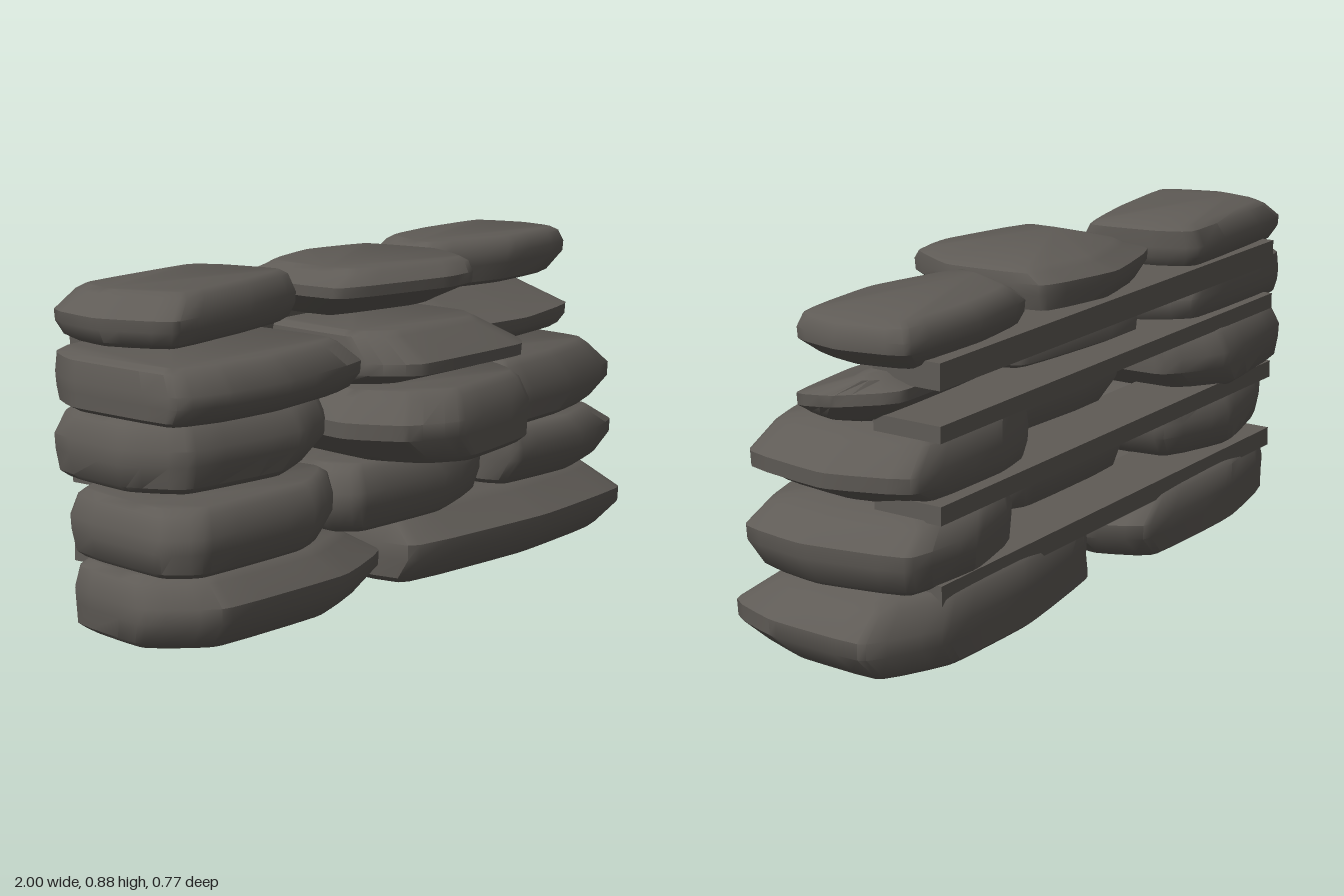
import * as THREE from 'three';
import { toCreasedNormals } from 'three/addons/utils/BufferGeometryUtils.js';

const stoneGrey = new THREE.MeshStandardMaterial({ color: 0x5f5b56 });
stoneGrey.name = 'stone grey';

// Cuts the corners of a closed outline
function cutCorners(points, amount) {
  return points.flatMap(([x, z], i) => {
    const [nx, nz] = points[(i + 1) % points.length];
    return [amount, 1 - amount].map((t) => [x + (nx - x) * t, z + (nz - z) * t]);
  });
}

function bounds(points) {
  const xs = points.map((p) => p[0]), zs = points.map((p) => p[1]);
  return [Math.min(...xs), Math.max(...xs), Math.min(...zs), Math.max(...zs)];
}

// Worn stone: one plan outline, stacked in rings between y0 and y1.
// low and high are the insets [left edge, right edge, back, front] of bottom and top;
// belly is the height share of the widest ring, tilt raises its back and drops its front.
function stone(name, y0, y1, plan, low, high, belly = 0.5, tilt = 0) {
  const box = bounds(plan);
  let outline = cutCorners(cutCorners(plan, 0.1), 0.25);
  const b = bounds(outline);
  // Unit outline, counted from +x towards +z
  outline = outline.map(([x, z]) => [(x - b[0]) / (b[1] - b[0]), (z - b[2]) / (b[3] - b[2])]);
  const n = outline.length;
  const area = outline.reduce((s, [x, z], i) => {
    const [nx, nz] = outline[(i + 1) % n];
    return s + x * nz - nx * z;
  }, 0);
  if (area < 0) outline.reverse();

  const h = y1 - y0, none = [0, 0, 0, 0];
  const rings = [
    [0, low, 0.025], [0.09, low, 0.004], [belly - 0.11, none, 0.002],
    [belly + 0.11, none, 0], [0.91, high, 0.004], [1, high, 0.025],
  ];
  const pos = [], index = [];
  rings.forEach(([t, inset, bevel], r) => {
    const left = box[0] + inset[0] + bevel, right = box[1] - inset[1] - bevel;
    const back = box[2] + inset[2] + bevel, front = box[3] - inset[3] - bevel;
    outline.forEach(([u, v]) => {
      const lift = r === 2 || r === 3 ? tilt * (0.5 - v) : 0;
      pos.push(left + (right - left) * u, y0 + h * t + lift, back + (front - back) * v);
    });
  });
  for (let r = 0; r < rings.length - 1; r++) {
    for (let i = 0; i < n; i++) {
      const a = r * n + i, c = r * n + ((i + 1) % n);
      index.push(a, a + n, c, c, a + n, c + n);
    }
  }
  // Flat caps
  const top = (rings.length - 1) * n;
  for (let i = 1; i < n - 1; i++) {
    index.push(0, i, i + 1);
    index.push(top, top + i + 1, top + i);
  }
  const geo = new THREE.BufferGeometry();
  geo.setAttribute('position', new THREE.Float32BufferAttribute(pos, 3));
  geo.setIndex(index);
  const mesh = new THREE.Mesh(toCreasedNormals(geo, 0.75), stoneGrey);
  mesh.name = name;
  return mesh;
}

export function createModel() {
  const wall = new THREE.Group();
  wall.name = 'stackedStoneWall';

  // First course
  wall.add(
    stone('course1StoneRight', 0.01, 0.19,
      [[-0.93, -0.02], [-0.88, -0.31], [-0.55, -0.38], [-0.12, -0.37], [-0.04, -0.2], [-0.1, 0.08], [-0.36, 0.17], [-0.8, 0.14]],
      [0.01, 0.06, 0, 0.03], [0.02, 0.09, 0.01, 0.05], 0.5),
    stone('course1StoneLeft', 0.005, 0.2,
      [[-0.04, 0.14], [-0.03, -0.22], [0.08, -0.31], [0.45, -0.375], [0.8, -0.37], [1, -0.27], [0.99, 0.02], [0.93, 0.19], [0.5, 0.21]],
      [0, 0.05, 0, 0.04], [0.02, 0.05, 0.01, 0.08], 0.48));

  // Second course
  wall.add(
    stone('course2StoneRight', 0.22, 0.39,
      [[-0.99, 0.1], [-0.94, -0.26], [-0.6, -0.35], [-0.35, -0.27], [-0.32, 0.1], [-0.5, 0.2], [-0.92, 0.18]],
      [0.01, 0.04, 0.01, 0.01], [0.02, 0, 0.01, 0.02], 0.5),
    stone('course2StoneMiddle', 0.21, 0.39,
      [[-0.35, 0.1], [-0.3, -0.2], [0.2, -0.2], [0.33, -0.1], [0.31, 0.12], [0.05, 0.2], [-0.3, 0.17]],
      [0.02, 0.02, 0.01, 0.01], [0.02, 0.1, 0.01, 0.02], 0.5),
    stone('course2StoneLeft', 0.21, 0.38,
      [[0.37, 0.1], [0.4, -0.3], [0.65, -0.365], [0.9, -0.34], [0.96, -0.05], [0.93, 0.15], [0.7, 0.21], [0.4, 0.18]],
      [0, 0.02, 0.01, 0.04], [0, 0.08, 0.02, 0.01], 0.55));

  // Third course
  wall.add(
    stone('course3StoneRight', 0.41, 0.59,
      [[-0.96, -0.05], [-0.91, -0.34], [-0.5, -0.385], [-0.33, -0.28], [-0.32, 0.08], [-0.5, 0.15], [-0.88, 0.1]],
      [0.01, 0.08, 0.01, 0.01], [0.02, 0, 0.02, 0.03], 0.5),
    stone('course3StoneMiddle', 0.4, 0.59,
      [[-0.36, 0.16], [-0.29, 0.31], [-0.16, 0.385], [0.21, 0.35], [0.3, 0.2], [0.31, -0.15], [-0.3, -0.18]],
      [0.09, 0.02, 0.01, 0], [0.05, 0.01, 0.01, 0.03], 0.5),
    stone('course3StoneLeft', 0.4, 0.58,
      [[0.29, 0.1], [0.31, -0.29], [0.5, -0.325], [0.85, -0.32], [0.93, -0.1], [0.89, 0.17], [0.6, 0.22], [0.31, 0.23]],
      [0.01, 0.1, 0.01, 0], [0, 0.07, 0.01, 0.03], 0.45));

  // Fourth course
  wall.add(
    stone('course4StoneRight', 0.6, 0.74,
      [[-1, 0.17], [-0.86, 0.22], [-0.66, 0.24], [-0.31, 0.2], [-0.3, -0.15], [-0.42, -0.33], [-0.9, -0.335], [-0.98, -0.2]],
      [0, 0.02, 0.01, 0.02], [0.01, 0.05, 0, 0.03], 0.45),
    stone('course4StoneMiddle', 0.6, 0.74,
      [[-0.31, 0.2], [-0.22, 0.31], [0.2, 0.33], [0.29, 0.24], [0.31, 0], [0.28, -0.22], [-0.25, -0.27]],
      [0.01, 0.02, 0.04, 0.09], [0.01, 0.1, 0.02, 0.08], 0.35),
    stone('course4StoneLeft', 0.6, 0.735,
      [[0.32, 0], [0.34, -0.25], [0.84, -0.27], [0.89, -0.1], [0.87, 0.03], [0.6, 0.07], [0.37, 0.05]],
      [0, 0.04, 0.1, 0.01], [0.01, 0.03, 0.05, 0.18], 0.5, 0.05));

  // Top course
  wall.add(
    stone('course5StoneRight', 0.76, 0.89,
      [[-0.95, -0.14], [-0.91, -0.33], [-0.4, -0.35], [-0.35, -0.25], [-0.31, -0.03], [-0.55, 0.02], [-0.88, 0.06]],
      [0.01, 0.02, 0.02, 0.01], [0.07, 0, 0.01, 0.03], 0.45),
    stone('course5StoneMiddle', 0.755, 0.885,
      [[-0.3, 0.1], [-0.28, -0.27], [0, -0.34], [0.25, -0.28], [0.285, 0], [0.18, 0.18], [0.06, 0.19]],
      [0.08, 0.02, 0.02, 0.12], [0.07, 0, 0.04, 0.02], 0.6),
    stone('course5StoneLeft', 0.755, 0.885,
      [[0.27, -0.07], [0.37, -0.31], [0.6, -0.34], [0.89, -0.33], [0.93, -0.15], [0.9, 0], [0.6, 0.02]],
      [0.01, 0.07, 0.03, 0.01], [0.05, 0.01, 0.01, 0.01], 0.55));

  // Long bars bedded between the courses at the back
  [[0.17, 0.222], [0.375, 0.423], [0.58, 0.623], [0.71, 0.778]].forEach(([y0, y1], i) => {
    const bar = new THREE.Mesh(new THREE.BoxGeometry(1.61, y1 - y0, 0.2), stoneGrey);
    bar.position.set(-0.015, (y0 + y1) / 2, -0.25);
    bar.name = 'beddingBar' + (i + 1);
    wall.add(bar);
  });

  return wall;
}
